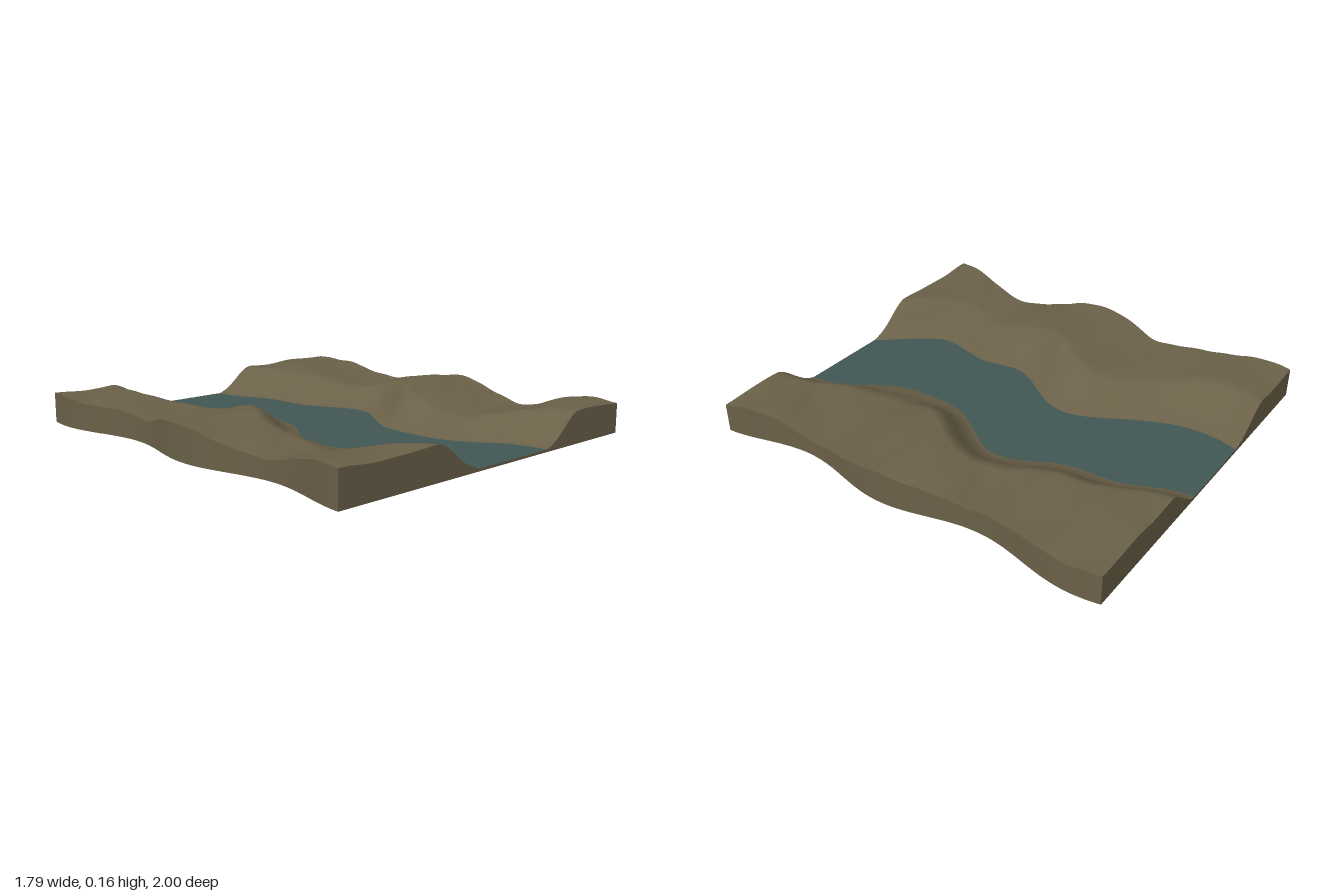
import * as THREE from 'three';

const ground = new THREE.MeshStandardMaterial({ color: 0x6b6149 });
ground.name = 'earth brown';
const waterMat = new THREE.MeshStandardMaterial({ color: 0x425754 });
waterMat.name = 'river teal';

const WATER = 0.012;
const ROWS = 120;

// Shorelines and ridge height, sampled every 0.1 from z = -1 to z = 1
const shoreRight = [-0.3, -0.325, -0.33, -0.32, -0.285, -0.24, -0.185, -0.135, -0.11, -0.13, -0.19,
  -0.26, -0.3, -0.29, -0.275, -0.295, -0.32, -0.325, -0.27, -0.19, -0.11];
const shoreLeft = [0.115, 0.13, 0.17, 0.21, 0.225, 0.228, 0.25, 0.3, 0.343, 0.35, 0.3,
  0.23, 0.17, 0.15, 0.145, 0.15, 0.175, 0.225, 0.3, 0.335, 0.345];
const ridge = [0.143, 0.143, 0.14, 0.136, 0.129, 0.119, 0.106, 0.101, 0.122, 0.142, 0.154,
  0.156, 0.142, 0.116, 0.097, 0.083, 0.088, 0.117, 0.143, 0.154, 0.147];

// Smooth cubic interpolation through a sampled row
function sample(row, z) {
  const t = THREE.MathUtils.clamp((z + 1) * 10, 0, 20);
  const i = Math.min(19, Math.floor(t));
  const f = t - i;
  const at = k => row[THREE.MathUtils.clamp(k, 0, 20)];
  const a = at(i - 1), b = at(i), c = at(i + 1), d = at(i + 2);
  return b + 0.5 * f * (c - a + f * (2 * a - 5 * b + 4 * c - d + f * (3 * (b - c) + d - a)));
}

// Wavy outer side of the block
const edge = z => 0.855 + 0.04 * Math.cos((2 * Math.PI * (z - 0.09)) / 0.95);

// Gentle weathering ripples on the uplands
function ripple(x, z) {
  const wx = x + 0.05 * Math.sin(7 * z + 2 * x);
  const wz = z + 0.04 * Math.sin(9 * x + 1);
  return 0.005 * Math.sin(11 * wx + 6 * wz) + 0.003 * Math.sin(17 * wz - 9 * wx + 2)
    + 0.0015 * Math.sin(38 * wz + 12 * wx);
}

// Height anywhere on the block: flat water, narrow beach, slope, upland
function height(x, z) {
  const dRight = sample(shoreRight, z) - x;
  const dLeft = x - sample(shoreLeft, z);
  const d = Math.max(dRight, dLeft);
  if (d <= 0) return WATER;
  const rise = THREE.MathUtils.smoothstep(d, 0.015, dRight > dLeft ? 0.27 : 0.23);
  const beach = 0.01 * Math.min(1, d / 0.04) * (1 - rise);
  return WATER + beach + rise * (sample(ridge, z) - WATER + ripple(x, z));
}

// Grid surface from point(u, v); it faces along du x dv
function surface(name, material, nu, nv, point) {
  const pos = [], idx = [];
  for (let j = 0; j <= nv; j++) {
    for (let i = 0; i <= nu; i++) pos.push(...point(i / nu, j / nv));
  }
  for (let j = 0; j < nv; j++) {
    for (let i = 0; i < nu; i++) {
      const a = j * (nu + 1) + i, b = a + 1, c = a + nu + 1, d = c + 1;
      idx.push(a, b, d, a, d, c);
    }
  }
  const g = new THREE.BufferGeometry();
  g.setAttribute('position', new THREE.Float32BufferAttribute(pos, 3));
  g.setIndex(idx);
  g.computeVertexNormals();
  const mesh = new THREE.Mesh(g, material);
  mesh.name = name;
  return mesh;
}

// Top strip between two lines x = from(z) and x = to(z)
function topStrip(name, material, columns, from, to) {
  return surface(name, material, columns, ROWS, (u, v) => {
    const z = 1 - 2 * v;
    const x = THREE.MathUtils.lerp(from(z), to(z), u);
    return [x, columns > 1 ? height(x, z) : WATER, z];
  });
}

export function createModel() {
  const group = new THREE.Group();
  group.name = 'riverValley';
  const right = z => sample(shoreRight, z);
  const left = z => sample(shoreLeft, z);

  // Land on both sides and the river between
  group.add(topStrip('rightLand', ground, 60, z => -edge(z), right));
  group.add(topStrip('leftLand', ground, 60, left, edge));
  group.add(topStrip('river', waterMat, 1, right, left));

  // Cut walls around the block
  for (const s of [1, -1]) {
    group.add(surface(s > 0 ? 'leftWall' : 'rightWall', ground, ROWS, 1, (u, v) => {
      const z = s * (1 - 2 * u);
      const x = s * edge(z);
      return [x, v * height(x, z), z];
    }));
    group.add(surface(s > 0 ? 'frontWall' : 'backWall', ground, 180, 1, (u, v) => {
      const x = s * edge(s) * (2 * u - 1);
      return [x, v * height(x, s), s];
    }));
  }

  // Flat underside
  group.add(surface('underside', ground, 1, ROWS, (u, v) => {
    const z = 1 - 2 * v;
    return [edge(z) * (1 - 2 * u), 0, z];
  }));
  return group;
}
